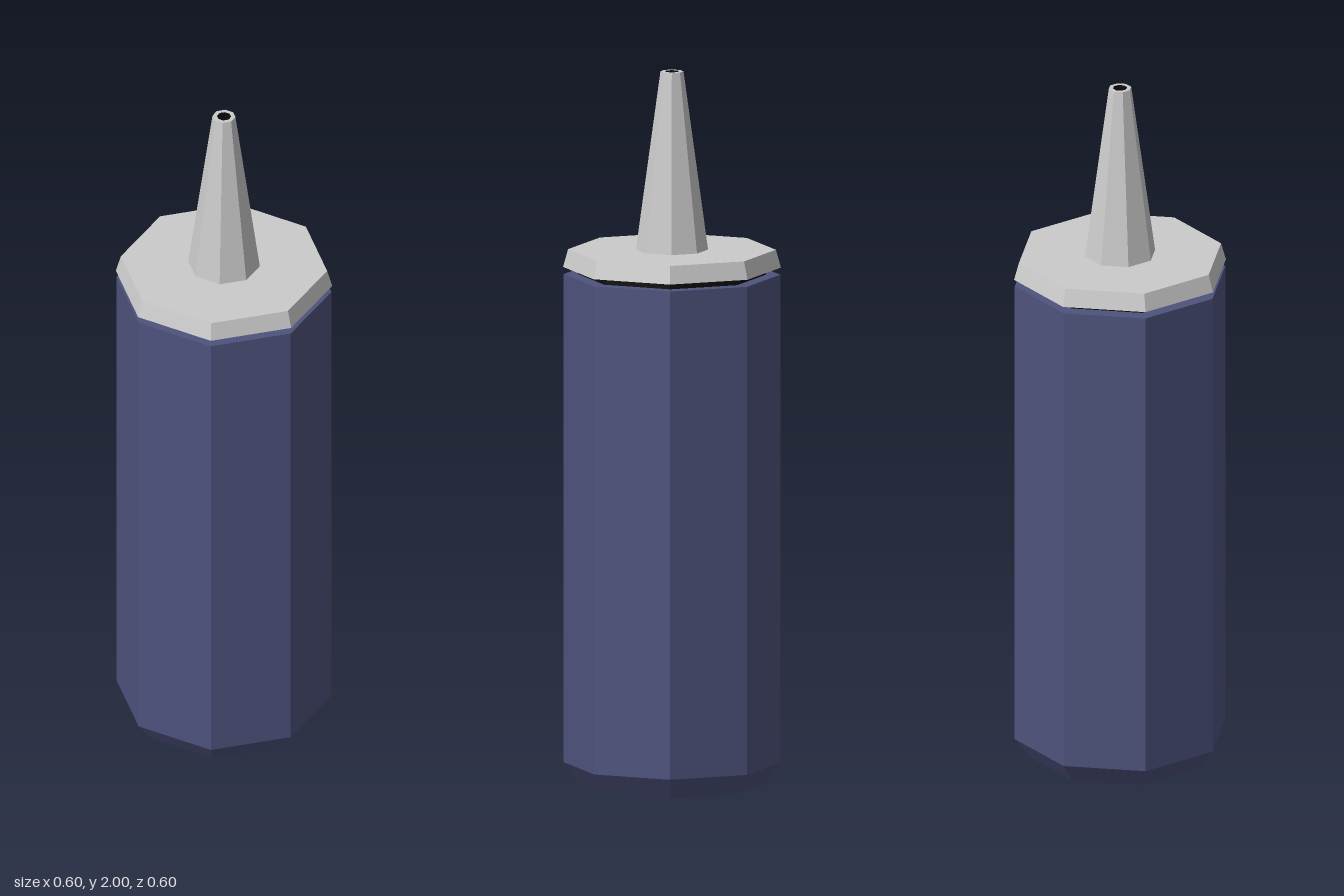
import * as THREE from 'three';

const SIDES = 8;

// Eight-sided turned part from [radius, height] pairs, listed so that the outside faces out
function turned(name, profile, color) {
  const points = profile.map(([r, y]) => new THREE.Vector2(r, y));
  const geometry = new THREE.LatheGeometry(points, SIDES);
  const material = new THREE.MeshStandardMaterial({ color, flatShading: true });
  const mesh = new THREE.Mesh(geometry, material);
  mesh.name = name;
  return mesh;
}

export function createModel() {
  const group = new THREE.Group();
  group.name = 'squeezeBottle';
  const blue = 0x4e537d, grey = 0xcccccc, black = 0x0c0c0c;

  group.add(
    // Bottle with a bevelled foot and a flat shoulder
    turned('bottleBody', [[0, 0], [0.255, 0], [0.3, 0.06], [0.3, 1.43], [0, 1.43]], blue),
    // Dark recessed neck in the gap under the cap
    turned('neck', [[0.26, 1.43], [0.26, 1.45]], black),
    // Slightly tapered cap
    turned('cap', [[0, 1.45], [0.302, 1.45], [0.288, 1.5], [0, 1.5]], grey),
    // Spout with a flat rim around the opening
    turned('nozzle', [[0.1, 1.5], [0.032, 2], [0.02, 2]], grey),
    // Dark bore of the spout
    turned('nozzleHole', [[0.02, 2], [0.02, 1.97], [0, 1.97]], black),
  );
  return group;
}
